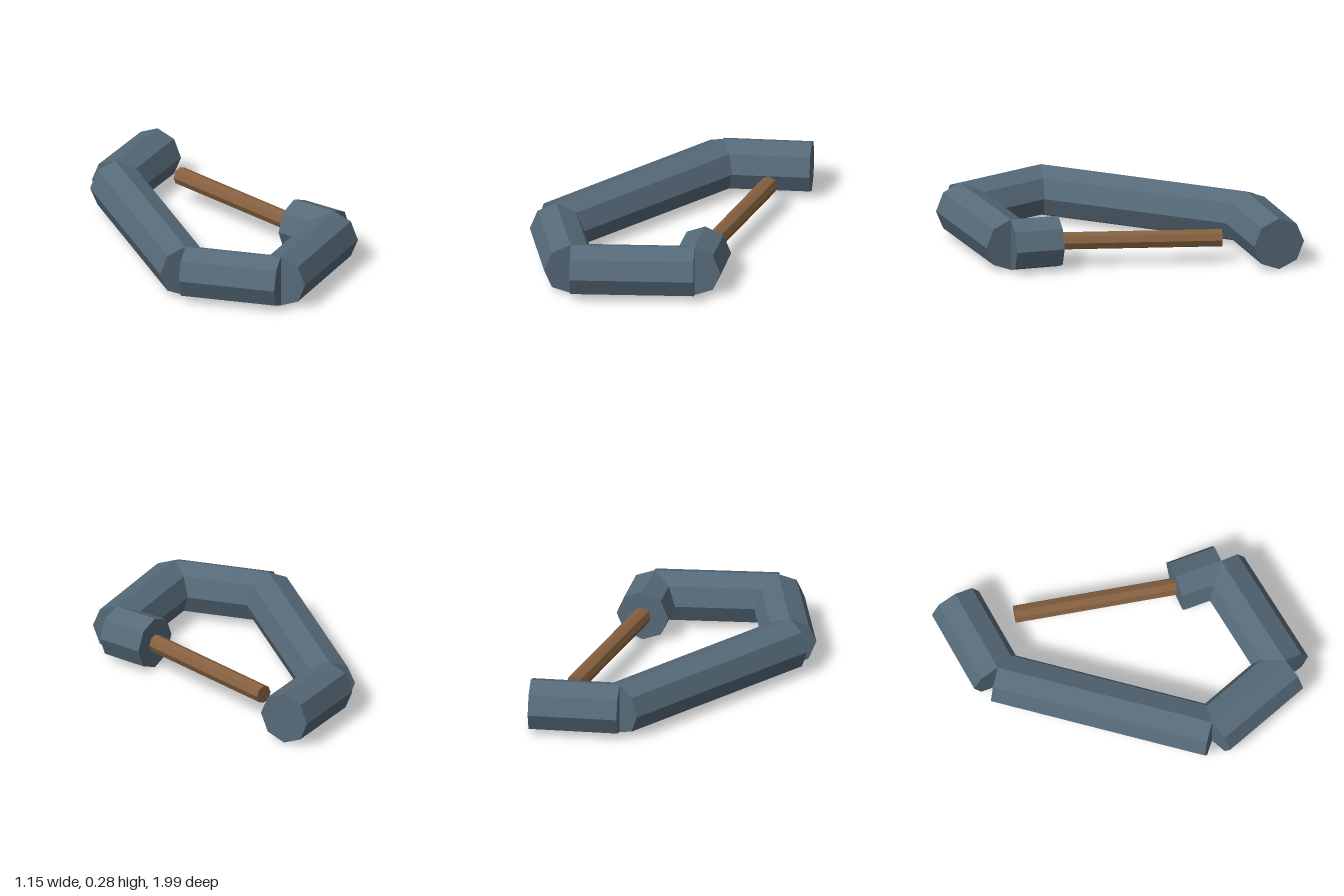
import * as THREE from 'three';

export function createModel() {
  const group = new THREE.Group();
  group.name = 'snapHook';

  const steel = new THREE.MeshStandardMaterial({ color: 0x566a79, flatShading: true });
  steel.name = 'slate steel';
  const bronze = new THREE.MeshStandardMaterial({ color: 0x85603f, flatShading: true });
  bronze.name = 'brown gate';

  const centreHeight = 0.14;

  // Eight-sided bar lying flat between two [x, z] points, one edge on top
  function addBar(name, [x0, z0], [x1, z1], radius, material) {
    const length = Math.hypot(x1 - x0, z1 - z0);
    const geometry = new THREE.CylinderGeometry(radius, radius, length, 8);
    geometry.rotateX(Math.PI / 2);
    const bar = new THREE.Mesh(geometry, material);
    bar.name = name;
    bar.position.set((x0 + x1) / 2, centreHeight, (z0 + z1) / 2);
    bar.rotation.y = Math.atan2(x1 - x0, z1 - z0);
    group.add(bar);
  }

  // Frame: straight bars sharing joints around the open loop
  const joints = [
    [-0.018, -0.894], [-0.375, -0.59], [-0.438, 0.573],
    [-0.02, 0.877], [0.454, 0.432], [0.315, 0.217],
  ];
  const names = ['noseBar', 'spineBar', 'lowerBar', 'bottomBar', 'hingeBar'];
  names.forEach((name, i) => addBar(name, joints[i], joints[i + 1], 0.14, steel));

  // Gate: thin rod from the hinge towards the nose
  addBar('gate', joints[5], [-0.015, -0.577], 0.048, bronze);

  return group;
}
